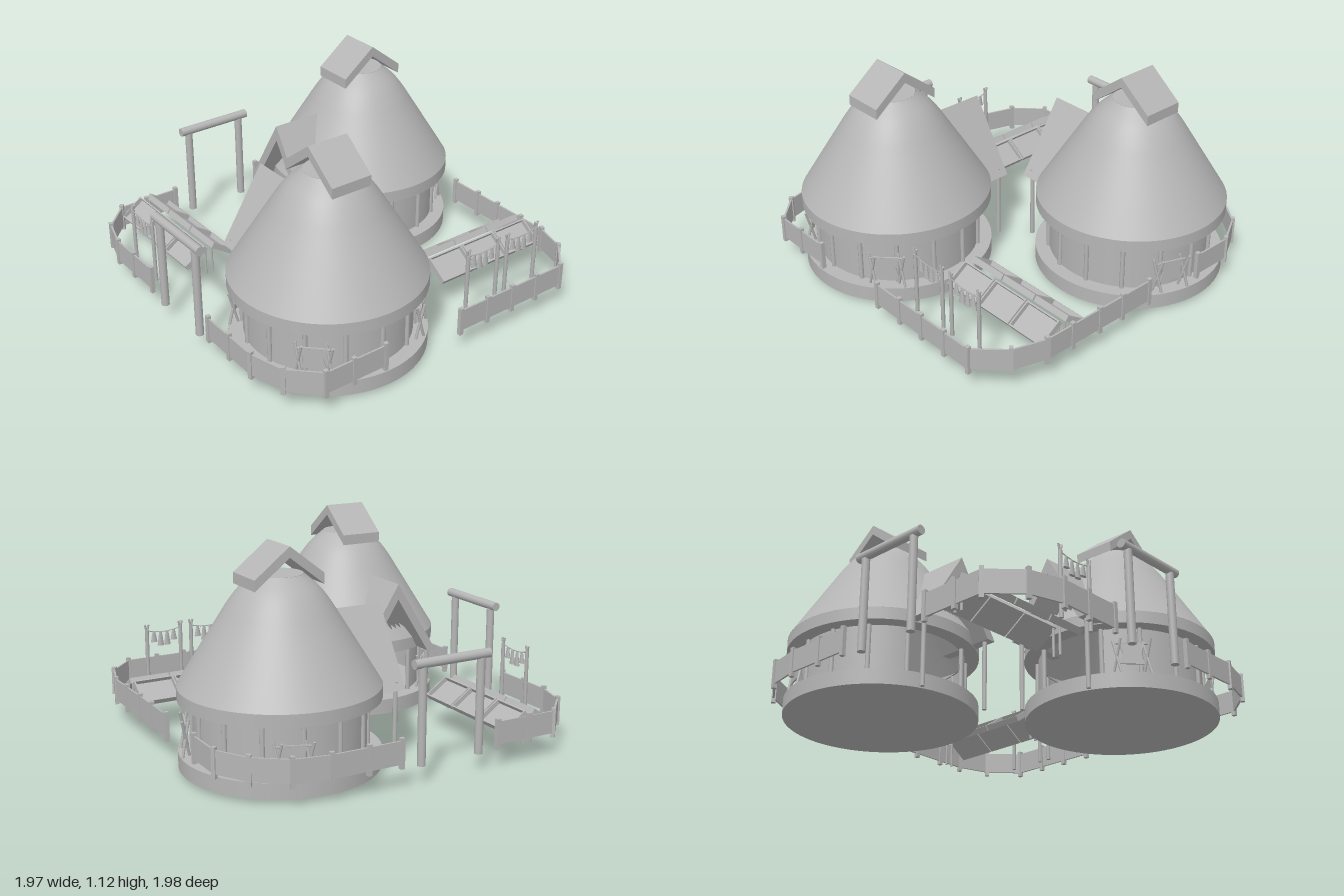
import * as THREE from 'three';

const grey = new THREE.MeshStandardMaterial({ color: 0xb6b6b6, side: THREE.DoubleSide });
grey.name = 'plain grey';
const V = (x, y, z) => new THREE.Vector3(x, y, z);

function add(parent, name, geometry, x = 0, y = 0, z = 0, ry = 0) {
  const mesh = new THREE.Mesh(geometry, grey);
  mesh.name = name;
  mesh.position.set(x, y, z);
  mesh.rotation.y = ry;
  parent.add(mesh);
  return mesh;
}

function group(parent, name, x = 0, y = 0, z = 0, ry = 0) {
  const g = new THREE.Group();
  g.name = name;
  g.position.set(x, y, z);
  g.rotation.y = ry;
  parent.add(g);
  return g;
}

// Round pole between two points
function pole(parent, name, a, b, r, sides = 8) {
  const mesh = add(parent, name, new THREE.CylinderGeometry(r, r, a.distanceTo(b), sides));
  mesh.position.copy(a).lerp(b, 0.5);
  mesh.quaternion.setFromUnitVectors(V(0, 1, 0), b.clone().sub(a).normalize());
  return mesh;
}

// Two sloping roof boards, extruded along z
function gable(w, yOut, wIn, yIn, apex, apexIn, depth) {
  const pts = [[-w, yOut], [-wIn, yIn], [0, apexIn], [wIn, yIn], [w, yOut], [0, apex]];
  const shape = new THREE.Shape(pts.map(p => new THREE.Vector2(...p)));
  return new THREE.ExtrudeGeometry(shape, { depth, bevelEnabled: false });
}

// Domed thatch with an opening left under the porch gable
function thatch() {
  const curve = new THREE.SplineCurve([[0.505, 0.43], [0.405, 0.592], [0.307, 0.75], [0.25, 0.84],
    [0.195, 0.91], [0.12, 0.977]].map(p => new THREE.Vector2(...p)));
  const geo = new THREE.LatheGeometry(curve.getPoints(36), 96);
  const p = geo.attributes.position, idx = geo.index.array, keep = [];
  for (let i = 0; i < idx.length; i += 3) {
    const mid = axis => (p[axis](idx[i]) + p[axis](idx[i + 1]) + p[axis](idx[i + 2])) / 3;
    const y = mid('getY');
    const open = mid('getZ') > 0 && y > 0.5 && Math.abs(mid('getX')) < (0.7 - y) / 1.62;
    if (!open) keep.push(idx[i], idx[i + 1], idx[i + 2]);
  }
  geo.setIndex(keep);
  return geo;
}

// Hide stretched between two crossed-stick stands
function hideFrame(hut, angle) {
  const g = group(hut, 'hideFrame', Math.sin(angle) * 0.47, 0, Math.cos(angle) * 0.47, angle);
  for (const s of [-1, 1]) {
    for (const t of [-1, 1]) {
      pole(g, 'crossedStick', V(s * 0.075 - t * 0.018, 0.1, -t * 0.018), V(s * 0.075 + t * 0.018, 0.285, t * 0.018), 0.007, 6);
    }
  }
  pole(g, 'frameBar', V(-0.08, 0.265, 0), V(0.08, 0.265, 0), 0.005, 6);
  const s = new THREE.Shape([[-0.065, 0.27], [-0.045, 0.21], [-0.06, 0.155], [0.06, 0.155], [0.045, 0.21], [0.065, 0.27]]
    .map(q => new THREE.Vector2(...q)));
  add(g, 'hide', new THREE.ExtrudeGeometry(s, { depth: 0.008, bevelEnabled: false }), 0, 0, -0.004);
}

function hut(parent, x, z, ry, frames) {
  const g = group(parent, 'hut', x, 0, z, ry);
  add(g, 'base', new THREE.CylinderGeometry(0.505, 0.505, 0.08, 64), 0, 0.06, 0);
  // Wall with a doorway facing the porch
  const door = 0.42;
  add(g, 'wall', new THREE.CylinderGeometry(0.43, 0.43, 0.28, 64, 1, true, door, Math.PI * 2 - 2 * door), 0, 0.23, 0);
  for (let i = 0; i < 14; i++) {
    const a = i * Math.PI / 7;
    if (i) add(g, 'wallPost', new THREE.CylinderGeometry(0.012, 0.012, 0.27, 8), Math.sin(a) * 0.435, 0.23, Math.cos(a) * 0.435);
  }
  const eave = [[0.42, 0.365], [0.505, 0.365], [0.505, 0.43]].map(q => new THREE.Vector2(...q));
  add(g, 'eaveUnderside', new THREE.LatheGeometry(eave.slice(0, 2), 64));
  add(g, 'eaveBand', new THREE.LatheGeometry(eave.slice(1), 64));
  add(g, 'thatchRoof', thatch());
  add(g, 'roofTop', new THREE.CylinderGeometry(0.12, 0.12, 0.006, 32), 0, 0.975, 0);
  // Smoke cap
  const cap = gable(0.187, 0.98, 0.187, 0.925, 1.125, 1.07, 0.23);
  cap.translate(0, 0, -0.115);
  add(g, 'smokeCap', cap, 0, 0, 0, Math.PI / 2);
  // Porch
  add(g, 'porchRoof', gable(0.247, 0.37, 0.195, 0.37, 0.765, 0.68, 0.325), 0, 0, 0.25);
  for (const s of [-1, 1]) pole(g, 'porchPost', V(s * 0.215, 0, 0.535), V(s * 0.215, 0.41, 0.535), 0.012);
  frames.forEach(a => hideFrame(g, THREE.MathUtils.degToRad(a)));
}

// Log gateway, spanning x
function gate(parent, x, z, ry) {
  const g = group(parent, 'gate', x, 0, z, ry);
  pole(g, 'gateBeam', V(-0.218, 0.597, 0), V(0.218, 0.597, 0), 0.024, 12);
  for (const s of [-1, 1]) pole(g, 'gatePost', V(s * 0.168, 0.09, 0), V(s * 0.168, 0.58, 0), 0.021, 12);
}

function fence(parent, pts) {
  const g = group(parent, 'fence');
  pts.forEach(([x, z], i) => {
    const next = pts[i + 1], turn = next ? Math.atan2(x - next[0], z - next[1]) : 0;
    add(g, 'fencePost', new THREE.BoxGeometry(0.022, 0.155, 0.022), x, 0.178, z, turn);
    if (!next) return;
    const len = Math.hypot(x - next[0], z - next[1]);
    add(g, 'fencePanel', new THREE.BoxGeometry(0.01, 0.118, len), (x + next[0]) / 2, 0.182, (z + next[1]) / 2, turn);
  });
}

// Double row of sloping trays, running along x
function trayRack(parent, x, z, ry) {
  const g = group(parent, 'trayRack', x, 0, z, ry);
  for (const s of [-1, 1]) {
    for (let i = -1; i <= 1; i++) {
      const tray = group(g, 'tray', i * 0.232, 0.205, s * 0.076);
      tray.rotation.x = s * 0.6;
      add(tray, 'trayFloor', new THREE.BoxGeometry(0.224, 0.008, 0.15));
      for (const t of [-1, 1]) {
        add(tray, 'trayEnd', new THREE.BoxGeometry(0.008, 0.028, 0.15), t * 0.108, 0.014, 0);
        add(tray, 'traySide', new THREE.BoxGeometry(0.224, 0.028, 0.008), 0, 0.014, t * 0.071);
      }
    }
    for (const t of [-1, 1]) pole(g, 'rackLeg', V(t * 0.33, 0.09, s * 0.02), V(t * 0.33, 0.24, s * 0.02), 0.007, 6);
  }
}

// Washing line between forked posts, running along x
function washingLine(parent, x, z, ry) {
  const g = group(parent, 'washingLine', x, 0, z, ry);
  for (const s of [-1, 1]) {
    pole(g, 'linePost', V(s * 0.102, 0.1, 0), V(s * 0.102, 0.44, 0), 0.011, 6);
    for (const t of [-1, 1]) pole(g, 'postFork', V(s * 0.102, 0.425, 0), V(s * 0.102 + t * 0.011, 0.47, 0), 0.006, 6);
  }
  const line = new THREE.QuadraticBezierCurve3(V(-0.1, 0.435, 0), V(0, 0.405, 0), V(0.1, 0.435, 0));
  add(g, 'line', new THREE.TubeGeometry(line, 10, 0.003, 5));
  for (let i = 0; i < 4; i++) {
    const p = line.getPoint(0.2 + i * 0.2);
    const h = i % 3 ? 0.08 : 0.06;
    const cloth = add(g, 'hangingBundle', new THREE.CylinderGeometry(0.008, 0.02, h, 8), p.x, p.y - h / 2, 0);
    cloth.scale.z = 0.5;
  }
}

export function createModel() {
  const model = new THREE.Group();
  model.name = 'homestead';
  hut(model, -0.405, -0.49, 0, [160, 250]);
  hut(model, 0.478, 0.397, -Math.PI / 2, [45, 135, 225]);
  gate(model, 0, 0.965, 0);
  gate(model, -0.955, 0.148, Math.PI / 2);

  fence(model, [[-0.97, 0.42], [-0.97, 0.61], [-0.97, 0.77], [-0.825, 0.915], [-0.65, 0.967], [-0.48, 0.967], [-0.295, 0.967]]);
  fence(model, [[0.265, 0.97], [0.45, 0.97], [0.635, 0.97], [0.825, 0.917], [0.965, 0.775], [0.965, 0.61], [0.965, 0.42]]);
  fence(model, [[-0.06, -0.95], [0.13, -0.95], [0.29, -0.95], [0.475, -0.95], [0.64, -0.95], [0.82, -0.895],
    [0.965, -0.755], [0.965, -0.58], [0.965, -0.41], [0.965, -0.24], [0.965, -0.06]]);
  fence(model, [[-0.42, -0.96], [-0.645, -0.96], [-0.815, -0.865], [-0.935, -0.705], [-0.97, -0.52], [-0.97, -0.32], [-0.97, -0.14]]);

  trayRack(model, -0.625, 0.618, 0);
  trayRack(model, 0.5, -0.57, Math.PI / 2);
  washingLine(model, -0.485, 0.895, 0);
  washingLine(model, 0.835, -0.315, Math.PI / 2);
  washingLine(model, 0.835, -0.585, Math.PI / 2);
  return model;
}
